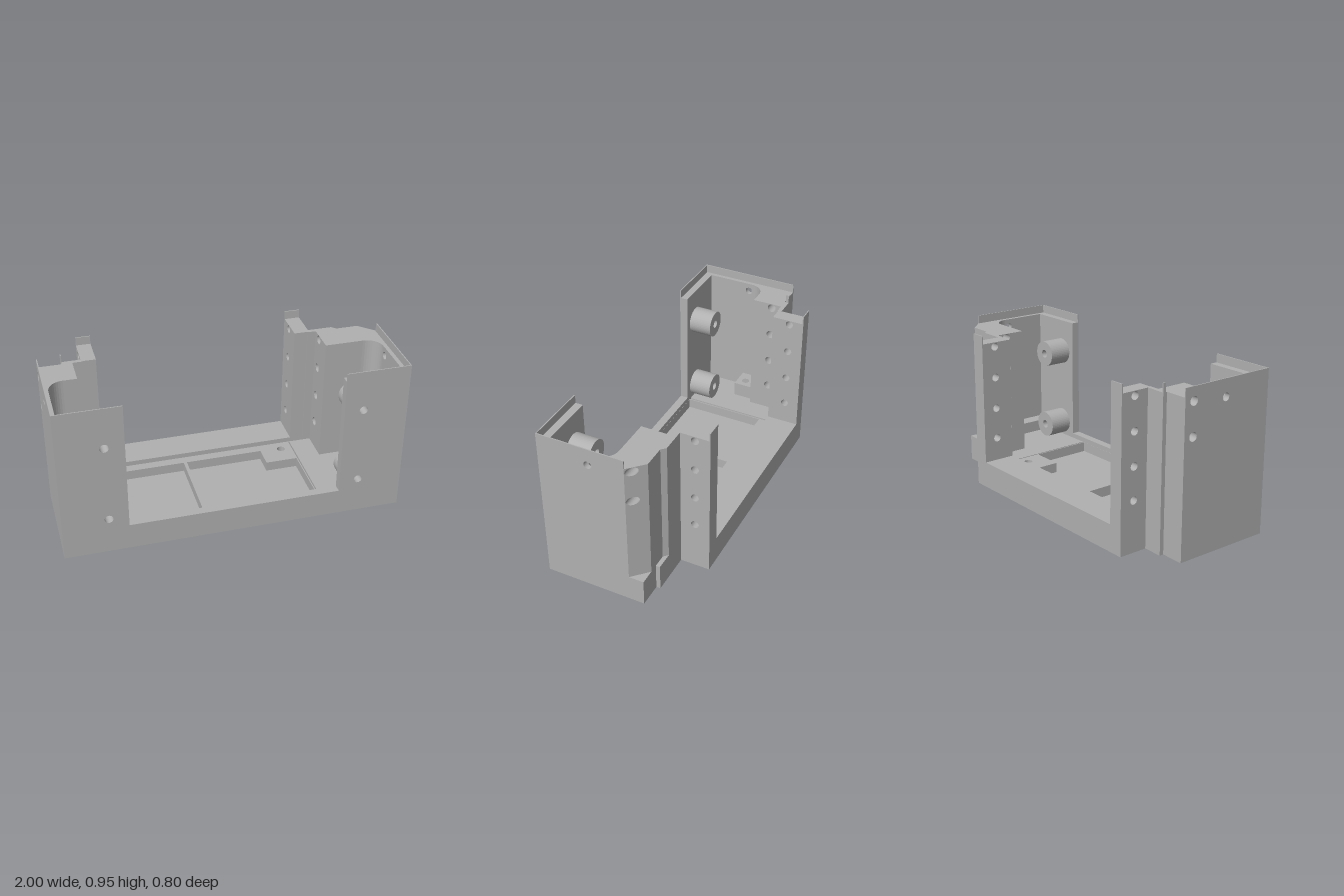
import * as THREE from 'three';

export function createModel() {
  const model = new THREE.Group();
  model.name = 'enclosureFrame';
  const grey = new THREE.MeshStandardMaterial({ color: 0xb0b0b0 });
  grey.name = 'plain grey';

  const add = (name, geometry) => {
    const mesh = new THREE.Mesh(geometry, grey);
    mesh.name = name;
    model.add(mesh);
    return mesh;
  };
  const box = (name, x0, x1, y0, y1, z0, z1) =>
    add(name, new THREE.BoxGeometry(x1 - x0, y1 - y0, z1 - z0)
      .translate((x0 + x1) / 2, (y0 + y1) / 2, (z0 + z1) / 2));
  const poly = (pts) => new THREE.Shape(pts.map(([a, b]) => new THREE.Vector2(a, b)));
  const rect = (a0, a1, b0, b1) => [[a0, b0], [a1, b0], [a1, b1], [a0, b1]];
  const circle = (a, b, r) => new THREE.Path().absarc(a, b, r, 0, Math.PI * 2, true);
  const extrude = (shape, depth) =>
    new THREE.ExtrudeGeometry(shape, { depth, bevelEnabled: false, curveSegments: 14 });

  // Plan outline [x, z] raised from y0 to y1
  const slab = (name, pts, holes, y0, y1) => {
    const flip = (p) => p.map(([x, z]) => [x, -z]);
    const shape = poly(flip(pts));
    shape.holes = holes.map((h) => (h instanceof THREE.Path ? h : poly(flip(h))));
    return add(name, extrude(shape, y1 - y0).rotateX(-Math.PI / 2).translate(0, y0, 0));
  };
  // Side panel running along x, drilled with holes [z, y, r]
  const sidePanel = (name, x0, x1, y0, y1, z0, z1, holes) => {
    const shape = poly(rect(-z1, -z0, y0, y1));
    shape.holes = holes.map(([z, y, r]) => circle(-z, y, r));
    return add(name, extrude(shape, x1 - x0).rotateY(Math.PI / 2).translate(x0, 0, 0));
  };

  const TOP = 0.9, LIP = 0.95, BASE = 0.16, T = 0.006;
  const rows = [0.3, 0.49, 0.683, 0.873];

  // Base tray in three layers: floor, pocket ribs, rim
  const outline = [[-1, 0.4], [1, 0.4], [1, -0.2], [0.86, -0.2], [0.86, -0.225], [0.61, -0.225],
    [0.61, -0.4], [-0.75, -0.4], [-0.75, -0.225], [-0.865, -0.225], [-0.865, -0.2], [-1, -0.2]];
  const slots = [rect(-0.665, -0.654, -0.2, 0.349), rect(0.508, 0.515, -0.2, 0.349)];
  slab('trayFloor', outline, slots, 0, 0.07);
  slab('trayRibs', outline, [...slots,
    rect(-0.648, -0.18, -0.15, 0.349),
    [[-0.16, -0.15], [0.31, -0.15], [0.31, -0.02], [0.502, -0.02], [0.502, 0.349], [-0.16, 0.349]],
    circle(0.44, 0.14, 0.024)], 0.07, 0.13);
  slab('trayRim', outline, [[[-0.97, 0.35], [0.97, 0.35], [0.97, -0.02], [0.65, -0.02],
    [0.65, -0.205], [-0.8, -0.205], [-0.8, -0.02], [-0.97, -0.02]]], 0.13, BASE);

  for (const s of [-1, 1]) {
    const span = (a, b) => (s > 0 ? [a, b] : [-b, -a]);

    // Front panel with two screw holes and hollow posts behind them
    const [f0, f1] = span(0.622, 1);
    const front = poly(rect(f0, f1, BASE, TOP));
    front.holes = [0.225, 0.7].map((y) => circle(s * 0.735, y, 0.025));
    add('frontPanel', extrude(front, 0.05).translate(0, 0, 0.35));
    box('frontLip', f0, f1, TOP, LIP, 0.4 - T, 0.4);
    for (const y of [0.225, 0.7]) {
      const post = new THREE.Shape().absarc(0, 0, 0.08, 0, Math.PI * 2);
      post.holes = [circle(0, 0, 0.025)];
      add('screwPost', new THREE.ExtrudeGeometry(post, { depth: 0.14, bevelEnabled: false, curveSegments: 24 })
        .translate(s * 0.735, y, 0.21));
    }

    // Outer wall with one hole and a thin lip
    const [w0, w1] = span(0.97, 1);
    sidePanel('outerWall', w0, w1, BASE, TOP, -0.02, 0.35, [[s > 0 ? 0.098 : 0.087, 0.85, 0.023]]);
    const [l0, l1] = span(1 - T, 1);
    box('outerLip', l0, l1, TOP, LIP, s > 0 ? -0.112 : -0.2, 0.4);

    // Concave fillet in the back outer corner of the cavity
    const r = 0.09;
    const arc = [[s * 0.97, -0.02]];
    for (let i = 0; i <= 10; i++) {
      const a = (i / 10) * Math.PI / 2;
      arc.push([s * (0.97 - r + r * Math.cos(a)), -0.02 + r - r * Math.sin(a)]);
    }
    slab('cornerFillet', arc, [], 0.13, TOP);

    // Rear block: inner part has four holes, outer part two
    const inner = s > 0 ? 0.65 : 0.8;
    const mid = inner + 0.1;
    const drill = (ys) => ys.map((y) => [-0.14, y, 0.0262]);
    const [b0, b1] = span(inner, 1);
    box('rearBlock', b0, b1, 0.13, TOP, -0.112, -0.02);
    sidePanel('rearBlockInner', ...span(inner, mid), BASE, TOP, -0.2, -0.112, drill(rows));
    const outer = sidePanel('rearBlockOuter', ...span(mid, 1), BASE, TOP, -0.2, -0.112, drill(rows.slice(2)));
    if (s > 0) {
      // Chamfer the outer end towards the back
      const p = outer.geometry.attributes.position;
      for (let i = 0; i < p.count; i++) {
        if (p.getX(i) > 0.99) p.setX(i, 1 - (-0.112 - p.getZ(i)) * 1.02);
      }
      outer.geometry.computeVertexNormals();
    }

    // Rear flange with four holes and a thin lip
    const [g0, g1] = s > 0 ? [0.52, 0.61] : [-0.75, -0.665];
    sidePanel('rearFlange', g0, g1, BASE, TOP, -0.4, -0.205, rows.map((y) => [-0.312, y, 0.0235]));
    box('flangeLip', g0, g1, TOP, LIP, -0.4, -0.4 + T);
  }

  // Strips joining the flanges to the rear blocks
  slab('rightRearStrip', [[0.61, -0.2], [0.78, -0.2], [0.755, -0.225], [0.61, -0.225]], [], BASE, TOP);
  box('rightRearWeb', 0.6, 0.66, BASE, TOP, -0.225, -0.2);
  box('leftRearStrip', -0.865, -0.74, BASE, TOP, -0.225, -0.2);
  box('leftStripLip', -0.865, -0.859, TOP, LIP, -0.225, -0.207);

  // Low screw boss and low rail inside the cavities
  slab('lowBoss', rect(-0.97, -0.835, -0.02, 0.11), [circle(-0.89, -0.055, 0.024)], 0.13, 0.22);
  box('lowRail', 0.885, 0.97, 0.13, 0.2, 0.06, 0.35);

  return model;
}
